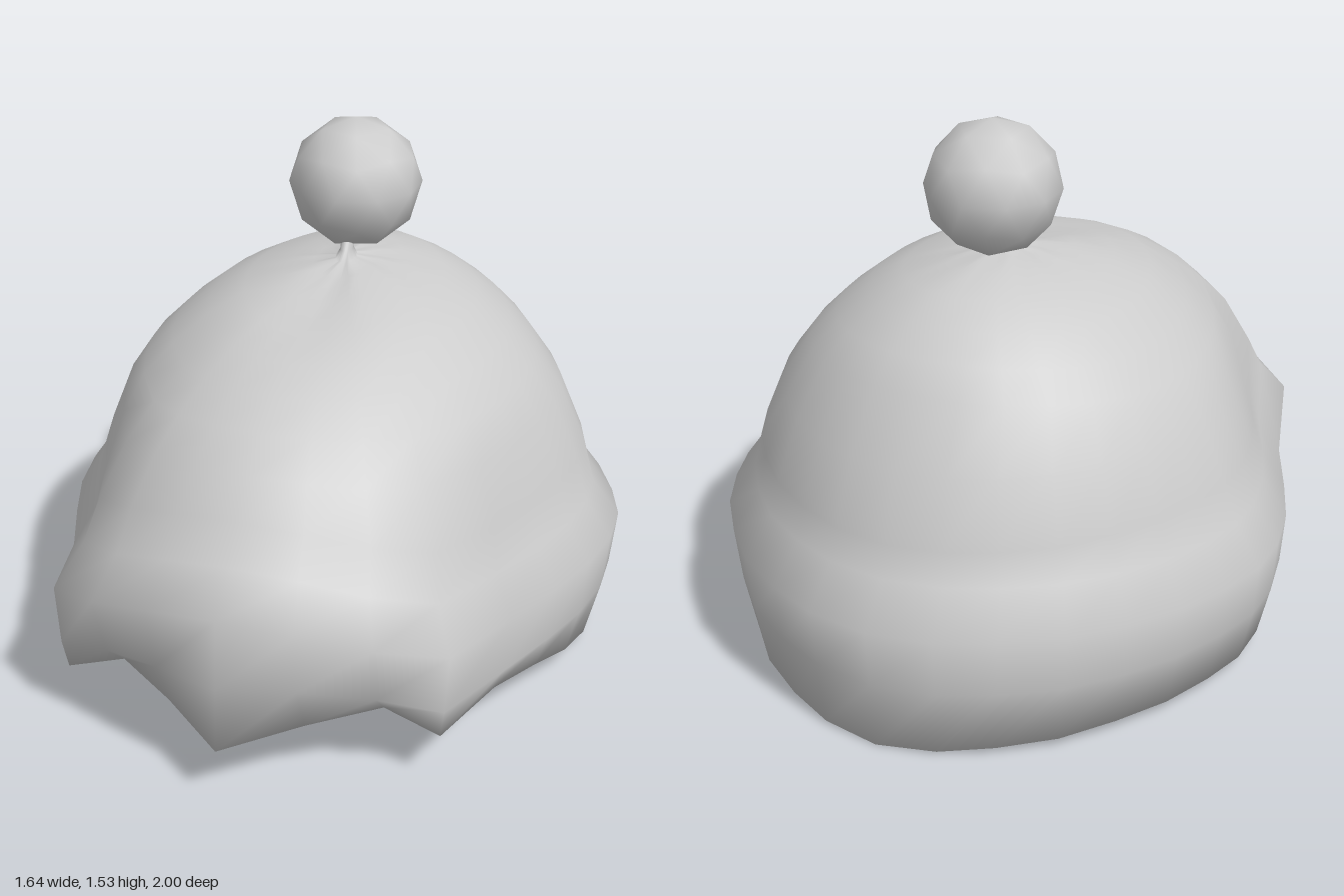
import * as THREE from 'three';

// Half outline of the hat from front to back: [x, z, hem height, how far the hem tucks back]
const outline = [
  [0, 1, 0.175, 0], [0.2, 0.978, 0.193, 0.135], [0.39, 0.9, 0.21, 0.18], [0.56, 0.775, 0.165, 0.04],
  [0.65, 0.45, 0.155, 0], [0.73, 0.25, 0.12, 0], [0.79, 0.08, 0.075, 0], [0.82, -0.09, 0.04, 0],
  [0.815, -0.24, 0.038, 0], [0.77, -0.38, 0.038, 0], [0.7, -0.53, 0.036, 0], [0.6, -0.67, 0.033, 0],
  [0.48, -0.8, 0.025, 0], [0.33, -0.9, 0.017, 0], [0.18, -0.97, 0.008, 0], [0, -1, 0, 0],
];

// Normalised columns all the way round, mirrored across x
const half = outline.map(([x, z, hem, tuck]) => ({
  x: x / 0.82, s: z > -0.09 ? (z + 0.09) / 1.09 : (z + 0.09) / 0.91, hem, tuck,
}));
const columns = [...half, ...half.slice(1, -1).reverse().map((c) => ({ ...c, x: -c.x }))];

// Ring: half width, front z, back z, then heights at front, side and back;
// optional last values are the depth of the gathered folds and the share of the hem's tuck
function ringPoints([w, zf, zb, yf, ys, yb, fold = 0, tuckShare = 0]) {
  const zc = zb + (zf - zb) * 0.455;
  const roundness = THREE.MathUtils.clamp((0.78 - w) * 4, 0, 1); // the crown grows elliptical
  return columns.map((c, j) => {
    const r = THREE.MathUtils.lerp(1, Math.hypot(c.x, c.s), roundness);
    const s = c.s / r;
    const t = Math.min(Math.abs(s), 1);
    const y = s > 0
      ? ys + (yf - ys) * t ** 5 // the band only rises close to the front
      : ys + (yb - ys) * t * t;
    return [
      c.x / r * w,
      y - (j % 3 === 1 ? fold : 0),
      zc + s * (s > 0 ? zf - zc : zc - zb) - c.tuck * tuckShare,
    ];
  });
}

// Ring that follows the wavy hem
function hemRing(w, zf, zb, lift) {
  const scale = w / 0.82;
  const zc = zb + (zf - zb) * 0.455;
  return columns.map(({ x, s, hem, tuck }) => {
    const slim = s > 0 ? THREE.MathUtils.lerp(scale, 1 - (0.82 - w) * 0.6, s) : scale;
    return [x * 0.82 * slim, hem + lift, zc + s * (s > 0 ? zf - zc : zc - zb) - tuck];
  });
}

function loft(name, rings, material) {
  const n = columns.length;
  const index = [];
  for (let i = 0; i < rings.length - 1; i++) {
    for (let j = 0; j < n; j++) {
      const a = i * n + j, b = i * n + ((j + 1) % n);
      index.push(a, b, b + n, a, b + n, a + n);
    }
  }
  const g = new THREE.BufferGeometry();
  g.setAttribute('position', new THREE.Float32BufferAttribute(rings.flat(2), 3));
  g.setIndex(index);
  g.computeVertexNormals();
  const mesh = new THREE.Mesh(g, material);
  mesh.name = name;
  return mesh;
}

export function createModel() {
  const hat = new THREE.Group();
  hat.name = 'bobbleHat';
  const wool = new THREE.MeshStandardMaterial({ color: 0xcccccc });
  wool.name = 'paleGreyWool';

  // Rolled band and dome, from low to high
  const body = [
    [0.805, 0.985, -0.985, 0.36, 0.2, 0.2, 0, 0.4],
    [0.822, 0.97, -1, 0.56, 0.36, 0.37],
    [0.745, 0.87, -0.905, 0.66, 0.47, 0.48],
    [0.71, 0.8, -0.88, 0.76, 0.59, 0.57],
    [0.635, 0.72, -0.81, 0.85, 0.765, 0.75],
    [0.56, 0.62, -0.7, 0.925, 0.87, 0.92],
    [0.48, 0.51, -0.63, 0.98, 0.95, 0.99],
    [0.38, 0.4, -0.55, 1.025, 1.03, 1.05],
    [0.28, 0.27, -0.46, 1.055, 1.08, 1.1],
  ];
  // Gathered top and the neck under the bobble
  const gather = [
    [0.17, 0.13, -0.34, 1.085, 1.113, 1.13, 0.002],
    [0.09, 0, -0.23, 1.115, 1.13, 1.142, 0.005],
    [0.03, -0.08, -0.17, 1.135, 1.138, 1.142, 0.005],
    [0.018, -0.1, -0.16, 1.16, 1.16, 1.16],
    [0.02, -0.13, -0.19, 1.21, 1.21, 1.21],
  ];

  // The thick hem edge runs smoothly into the outside
  const innerHem = hemRing(0.675, 0.9, -0.865, 0.07);
  const outerHem = hemRing(0.765, 0.995, -0.965, 0);
  hat.add(loft('outerShell', [innerHem, outerHem, ...[...body, ...gather].map(ringPoints)], wool));

  // Inside surface, a fabric's thickness within the body, from the crown down
  const inside = body.map(([w, zf, zb, yf, ys, yb, fold, tuckShare]) => {
    const drop = 0.05 * (1 - w / 0.82);
    return [w - 0.05, zf - 0.05, zb + 0.05, yf - drop, ys - drop, yb - drop, fold, tuckShare];
  });
  hat.add(loft('lining', [
    ...[[0, -0.1, -0.1, 1.08, 1.08, 1.08], ...inside.reverse()].map(ringPoints),
    innerHem,
  ], wool));

  // Faceted bobble resting on the neck
  const ball = new THREE.IcosahedronGeometry(0.192, 1);
  ball.rotateZ(-Math.atan(2 / (1 + Math.sqrt(5))));
  const bobble = new THREE.Mesh(ball, wool);
  bobble.name = 'bobble';
  bobble.position.set(0, 1.335, -0.215);
  hat.add(bobble);

  return hat;
}
